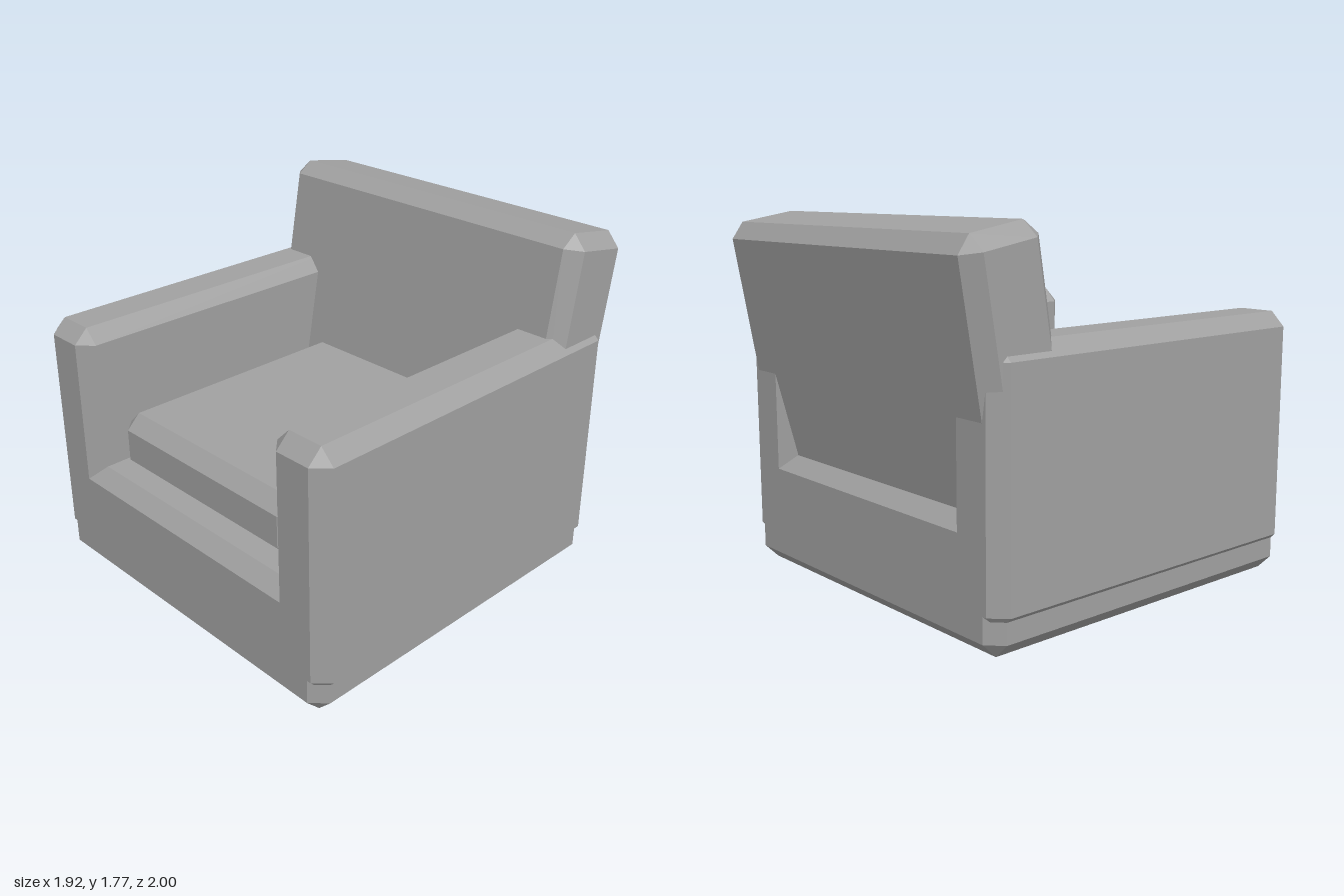
import * as THREE from 'three';
import { ConvexGeometry } from 'three/addons/geometries/ConvexGeometry.js';

const BEVEL = 0.07;

// Box with every edge cut at 45 degrees, centred on its own origin
function bevelledBox(w, h, d, c = BEVEL) {
  const points = [];
  const [x, y, z] = [w / 2, h / 2, d / 2];
  for (const sx of [-1, 1]) for (const sy of [-1, 1]) for (const sz of [-1, 1]) {
    points.push(
      new THREE.Vector3(sx * x, sy * (y - c), sz * (z - c)),
      new THREE.Vector3(sx * (x - c), sy * y, sz * (z - c)),
      new THREE.Vector3(sx * (x - c), sy * (y - c), sz * z));
  }
  return new ConvexGeometry(points);
}

export function createModel() {
  const group = new THREE.Group();
  group.name = 'armchair';
  const fabric = new THREE.MeshStandardMaterial({ color: 0xa0a0a0 });
  fabric.name = 'grey fabric';

  const add = (name, [w, h, d], [x, y, z]) => {
    const mesh = new THREE.Mesh(bevelledBox(w, h, d), fabric);
    mesh.name = name;
    mesh.position.set(x, y, z);
    group.add(mesh);
    return mesh;
  };

  // Base block under the whole chair
  add('base', [1.88, 0.575, 1.88], [0, 0.2875, 0.06]);

  // Armrests, overhanging the base slightly
  for (const side of [-1, 1]) {
    add(side > 0 ? 'leftArm' : 'rightArm', [0.323, 1.175, 1.88], [side * 0.8, 0.7075, 0.06]);
  }

  // Loose seat cushion, its rear tucked into the backrest
  add('seatCushion', [1.22, 0.3, 1.46], [0, 0.708, 0.13]);

  // Reclined backrest
  const back = add('backrest', [1.88, 1.355, 0.416], [0, 1.075, -0.685]);
  back.rotation.x = THREE.MathUtils.degToRad(-10);

  return group;
}
